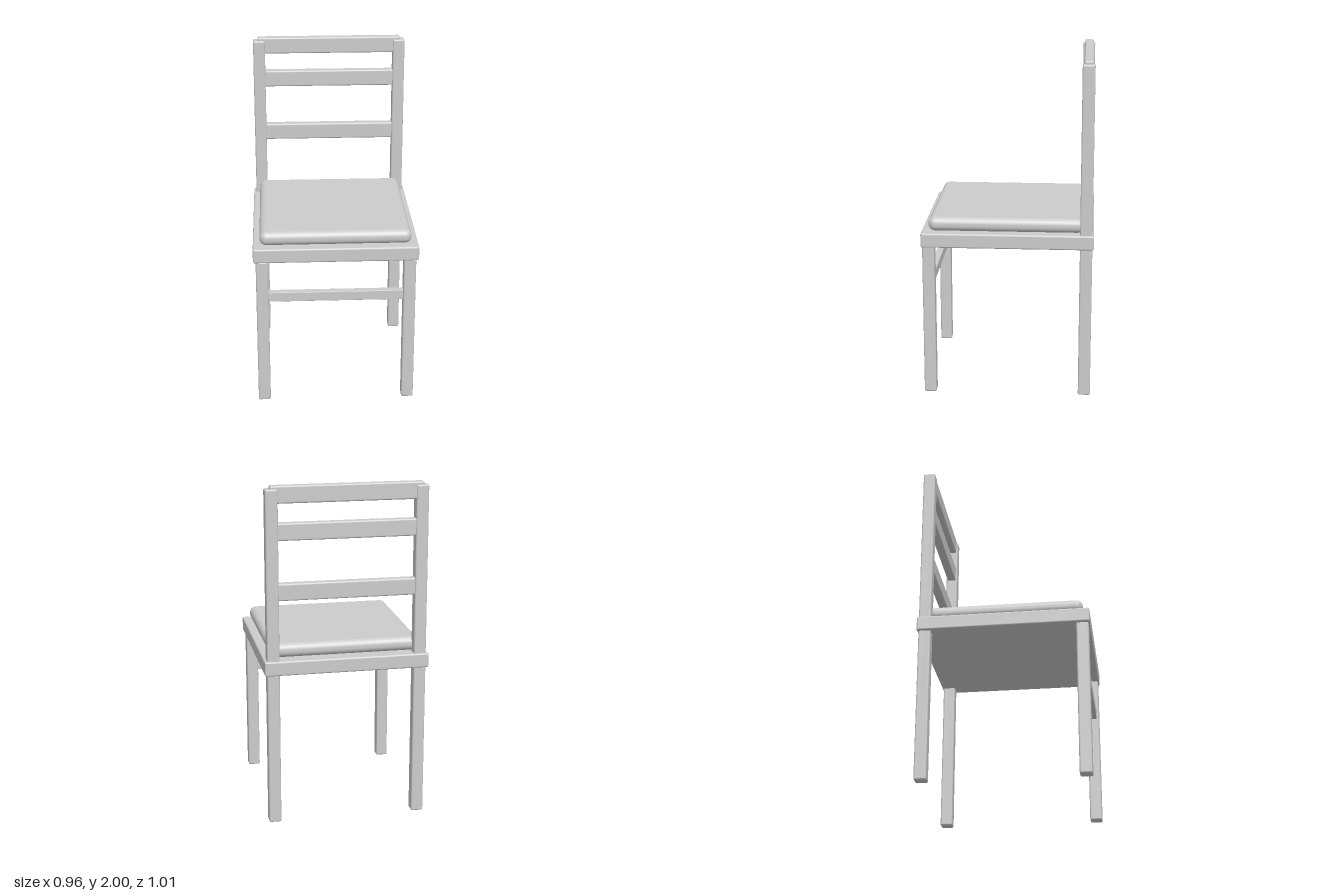
import * as THREE from 'three';
import { RoundedBoxGeometry } from 'three/addons/geometries/RoundedBoxGeometry.js';

const grey = new THREE.MeshStandardMaterial({ color: 0xcccccc });
grey.name = 'plain grey';

export function createModel() {
  const chair = new THREE.Group();
  chair.name = 'chair';

  // Rounded block given by its limits on each axis
  function block(name, [x0, x1], [y0, y1], [z0, z1], radius, segments = 2) {
    const geometry = new RoundedBoxGeometry(x1 - x0, y1 - y0, z1 - z0, segments, radius);
    const mesh = new THREE.Mesh(geometry, grey);
    mesh.name = name;
    mesh.position.set((x0 + x1) / 2, (y0 + y1) / 2, (z0 + z1) / 2);
    chair.add(mesh);
  }

  // Seat board and cushion
  block('seat', [-0.482, 0.482], [0.908, 0.994], [-0.503, 0.503], 0.01);
  block('cushion', [-0.442, 0.442], [0.994, 1.077], [-0.442, 0.462], 0.038, 6);

  // Front legs, and back legs that rise into the backrest posts
  for (const [side, s] of [['left', 1], ['right', -1]]) {
    const x = [s * 0.431 - 0.036, s * 0.431 + 0.036];
    block(side + 'FrontLeg', x, [0, 0.912], [0.424, 0.496], 0.01);
    block(side + 'BackPost', x, [0, 1.982], [-0.494, -0.422], 0.01);
  }

  // Backrest slats, let into the posts
  [[1.345, 1.445], [1.69, 1.79], [1.9, 2.0]].forEach((y, i) =>
    block('backSlat' + (i + 1), [-0.44, 0.44], y, [-0.486, -0.432], 0.01));

  // Stretcher between the front legs
  block('frontStretcher', [-0.42, 0.42], [0.652, 0.71], [0.44, 0.482], 0.003);

  return chair;
}
